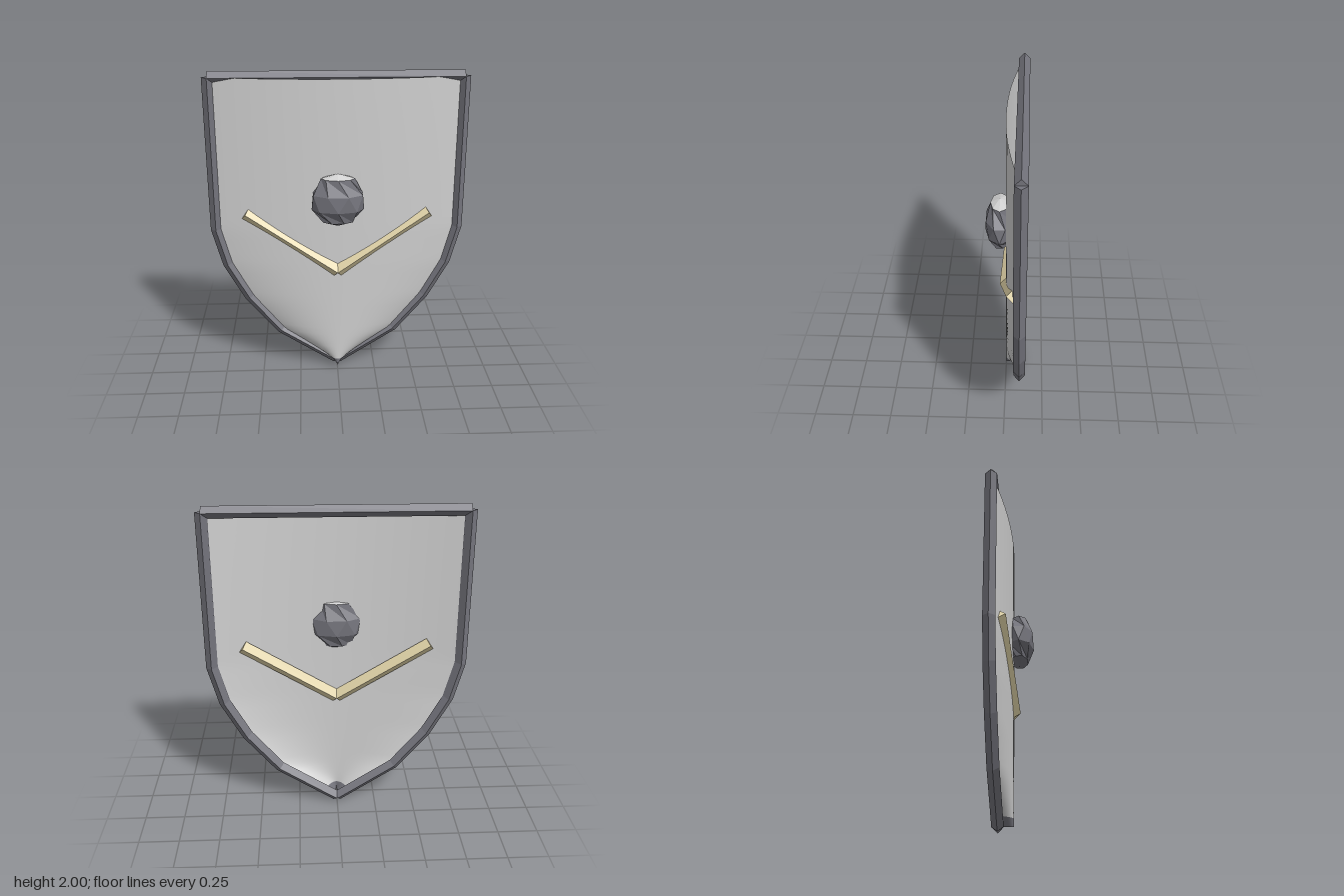
import * as THREE from 'three';

const iron = new THREE.MeshStandardMaterial({ color: 0x74747c });
iron.name = 'dark iron';
iron.side = THREE.DoubleSide;
const steel = new THREE.MeshStandardMaterial({ color: 0xd0d0d0 });
steel.name = 'pale steel';
steel.side = THREE.DoubleSide;
const brass = new THREE.MeshStandardMaterial({ color: 0xdccfa4 });
brass.name = 'pale brass';

// Right-hand half of the outline, top to tip
const outline = [[0.772, 1.965], [0.772, 1.0], [0.708, 0.757], [0.575, 0.515], [0.373, 0.272], [0.004, 0.032]];
const RIM_Z = -0.095;

function flat(geometry) {
  const g = geometry.index ? geometry.toNonIndexed() : geometry;
  g.computeVertexNormals();
  return g;
}

function add(parent, name, geometry, material) {
  const mesh = new THREE.Mesh(geometry, material);
  mesh.name = name;
  parent.add(mesh);
  return mesh;
}

// Bar with a diamond cross-section along a path, mitred at the corners
function diamondBar(path, radius) {
  const pts = path.map((p) => new THREE.Vector3(...p));
  const dir = (i) => new THREE.Vector2(pts[i + 1].x - pts[i].x, pts[i + 1].y - pts[i].y).normalize();
  const pos = [], idx = [], last = pts.length - 1;
  pts.forEach((p, i) => {
    const d0 = dir(Math.max(i - 1, 0)), d1 = dir(Math.min(i, last - 1));
    const t = d0.clone().add(d1).normalize();
    const r = radius / t.dot(d1);
    const nx = t.y * r, ny = -t.x * r;
    pos.push(p.x + nx, p.y + ny, p.z, p.x, p.y, p.z + radius,
      p.x - nx, p.y - ny, p.z, p.x, p.y, p.z - radius);
    if (i === last) return;
    for (let k = 0; k < 4; k++) {
      const a = i * 4 + k, b = i * 4 + (k + 1) % 4;
      idx.push(a, a + 4, b, b, a + 4, b + 4);
    }
  });
  const e = last * 4;
  idx.push(0, 1, 2, 0, 2, 3, e, e + 2, e + 1, e, e + 3, e + 2);
  const g = new THREE.BufferGeometry();
  g.setAttribute('position', new THREE.Float32BufferAttribute(pos, 3));
  g.setIndex(idx);
  return flat(g);
}

// Half width of the shield at height y
function halfWidth(y) {
  for (let i = 1; i < outline.length; i++) {
    const [x0, y0] = outline[i - 1], [x1, y1] = outline[i];
    if (y >= y1) return x1 + (x0 - x1) * (y - y1) / (y0 - y1);
  }
  return outline[outline.length - 1][0];
}

// Curved sheet: each row spans the outline and bulges forward in the middle
function sheet(yLow, yHigh, rows) {
  const g = new THREE.PlaneGeometry(2, 1, 24, rows);
  const p = g.attributes.position;
  for (let i = 0; i < p.count; i++) {
    const u = p.getX(i), y = yLow + (p.getY(i) + 0.5) * (yHigh - yLow);
    p.setXYZ(i, u * halfWidth(y), y, RIM_Z * u * u);
  }
  g.computeVertexNormals();
  return g;
}

// Faceted boss piece: rings of eight, every other ring turned half a step
function bossPiece(profile, firstRing) {
  const g = new THREE.LatheGeometry(profile.map(([r, y]) => new THREE.Vector2(r, y)), 8);
  const p = g.attributes.position;
  for (let i = 0; i < p.count; i++) {
    const ring = firstRing + i % profile.length;
    const seg = Math.floor(i / profile.length);
    const a = (seg + (ring % 2) * 0.5) * Math.PI / 4;
    const r = profile[i % profile.length][0];
    p.setX(i, r * Math.sin(a));
    p.setZ(i, r * Math.cos(a) * 0.56);
  }
  return flat(g);
}

export function createModel() {
  const shield = new THREE.Group();
  shield.name = 'shield';

  // Face and its dark tip
  add(shield, 'face', sheet(0.08, 1.965, 40), steel);
  add(shield, 'faceTip', sheet(0.032, 0.08, 2), iron);

  // Rim: top bar and two bent sides meeting at the tip
  const rim = new THREE.Group();
  rim.name = 'rim';
  shield.add(rim);
  add(rim, 'topRim', diamondBar([[-0.772, 1.965, RIM_Z], [0.772, 1.965, RIM_Z]], 0.036), iron);
  for (const s of [-1, 1]) {
    const path = outline.map(([x, y]) => [s * x, y, RIM_Z]);
    add(rim, s > 0 ? 'leftRim' : 'rightRim', diamondBar(path, 0.036), iron);
  }

  // Chevron bars following the curve of the face
  const chevron = new THREE.Group();
  chevron.name = 'chevron';
  shield.add(chevron);
  for (const s of [-1, 1]) {
    const path = [[0, 0.737, 0], [s * 0.58, 1.117, -0.058]];
    add(chevron, s > 0 ? 'leftChevronBar' : 'rightChevronBar', diamondBar(path, 0.042), brass);
  }

  // Boss with a pale cap
  const boss = new THREE.Group();
  boss.name = 'boss';
  boss.position.set(0, 0, 0.037);
  shield.add(boss);
  const rings = [[0, 1.06], [0.1, 1.09], [0.163, 1.17], [0.165, 1.27], [0.105, 1.37]];
  add(boss, 'bossBody', bossPiece(rings, 0), iron);
  add(boss, 'bossCap', bossPiece([[0.105, 1.37], [0, 1.4]], 4), steel);

  return shield;
}
